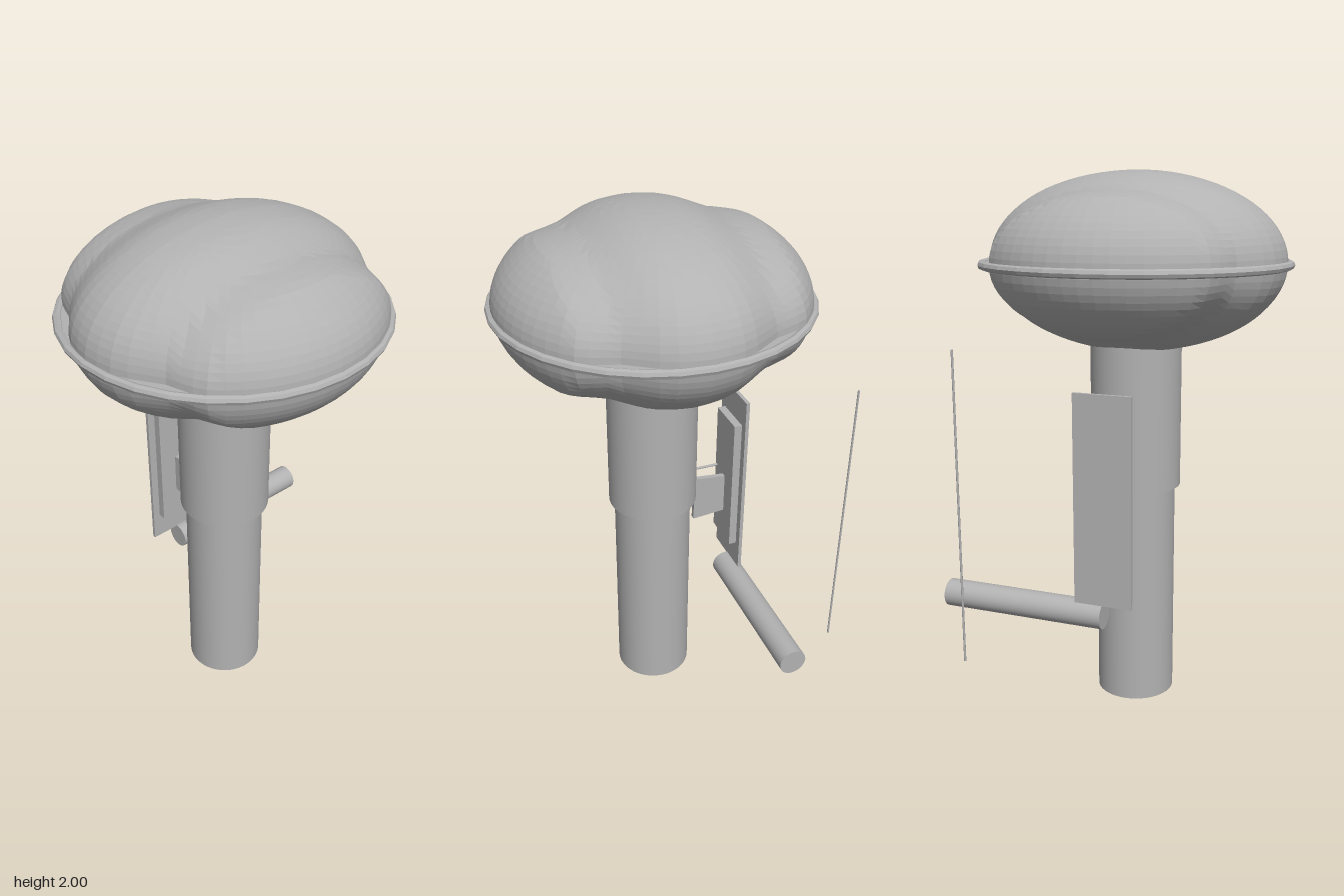
import * as THREE from 'three';

const CX = 0.012, CZ = 0.033; // axis of the post

// Piecewise-linear squeeze of the head by distance from its centre plane
const SQUEEZE = [[0, 1], [0.1, 0.989], [0.15, 0.97], [0.22, 0.924], [0.267, 0.903], [0.33, 0.943], [0.39, 1], [1, 1]];
function squeeze(d) {
  for (let i = 1; i < SQUEEZE.length; i++) {
    const [d0, f0] = SQUEEZE[i - 1], [d1, f1] = SQUEEZE[i];
    if (d <= d1) return f0 + (f1 - f0) * (d - d0) / (d1 - d0);
  }
  return 1;
}

export function createModel() {
  const model = new THREE.Group();
  const grey = new THREE.MeshStandardMaterial({ color: 0xb2b2b2 });
  grey.name = 'grey';
  const greyFaceted = new THREE.MeshStandardMaterial({ color: 0xb2b2b2, flatShading: true });
  greyFaceted.name = 'grey';

  const add = (name, geometry, x, y, z, material = grey) => {
    const mesh = new THREE.Mesh(geometry, material);
    mesh.name = name;
    mesh.position.set(x, y, z);
    model.add(mesh);
    return mesh;
  };
  const tube = (name, r, length, x, y, z, sides = 48) =>
    add(name, new THREE.CylinderGeometry(r, r, length, sides), x, y, z);

  // Post and the wider sleeve under the head
  tube('post', 0.148, 0.9, CX, 0.45, CZ + 0.004);
  tube('sleeve', 0.17, 0.56, CX, 1.12, CZ + 0.002);

  // Flattened head with a groove on each side of the central bulge
  const headGeo = new THREE.SphereGeometry(1, 64, 40);
  headGeo.scale(0.555, 0.323, 0.555);
  const p = headGeo.attributes.position;
  for (let i = 0; i < p.count; i++) {
    const f = squeeze(Math.abs(p.getX(i)));
    p.setY(i, p.getY(i) * f);
    p.setZ(i, p.getZ(i) * f);
  }
  headGeo.computeVertexNormals();
  add('head', headGeo, CX, 1.677, CZ, greyFaceted);

  // Seam plate and rim around the middle of the head
  add('seamPlate', new THREE.CylinderGeometry(0.558, 0.558, 0.016, 32), CX, 1.67, CZ, greyFaceted);
  const rim = add('rim', new THREE.TorusGeometry(0.558, 0.016, 8, 32), CX, 1.67, CZ, greyFaceted);
  rim.rotation.x = Math.PI / 2;

  // Side panel with its backing box
  add('sidePanel', new THREE.BoxGeometry(0.014, 0.78, 0.22), -0.328, 0.855, CZ);
  add('panelBacking', new THREE.BoxGeometry(0.031, 0.56, 0.16), -0.306, 0.855, CZ);

  // Tapered bracket between panel and post
  const bracket = new THREE.Shape([[-0.292, 0.702], [-0.16, 0.69], [-0.16, 0.88], [-0.292, 0.868]]
    .map(([x, y]) => new THREE.Vector2(x, y)));
  add('bracket', new THREE.ExtrudeGeometry(bracket, { depth: 0.02, bevelEnabled: false }), 0, 0, CZ - 0.01);

  // Small pin above the bracket
  const pin = tube('pin', 0.005, 0.11, -0.205, 0.925, CZ, 10);
  pin.rotation.z = Math.PI / 2;

  // Horizontal arm pointing backwards
  const arm = tube('arm', 0.052, 0.638, -0.31, 0.42, -0.289, 32);
  arm.rotation.x = Math.PI / 2;

  // Thin free-standing rod
  tube('thinRod', 0.004, 1.12, -0.588, 0.855, -0.395, 10);

  return model;
}
